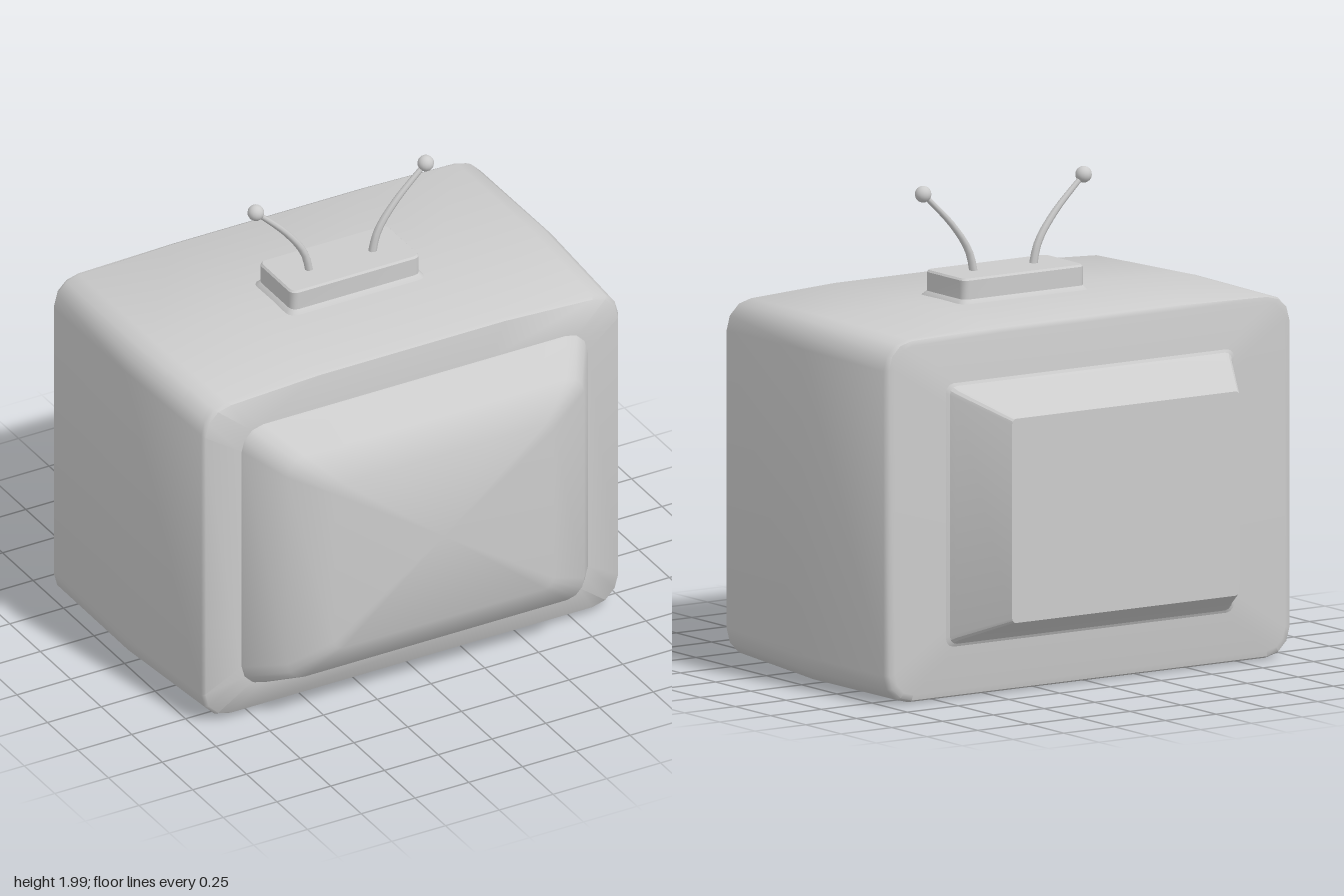
import * as THREE from 'three';
import { toCreasedNormals } from 'three/addons/utils/BufferGeometryUtils.js';

const grey = new THREE.MeshStandardMaterial({ color: 0xcccccc });

// Rounded rectangle cross-section; crown lifts the middle of the top edge
function ring({ z, w, y0, y1, r, crown = 0 }, steps) {
  const points = [];
  const top = y1 - crown;
  const corners = [[w - r, top - r], [r - w, top - r], [r - w, y0 + r], [w - r, y0 + r]];
  corners.forEach(([cx, cy], c) => {
    for (let i = 0; i <= steps; i++) {
      const a = (c + i / steps) * Math.PI / 2;
      points.push([cx + r * Math.cos(a), cy + r * Math.sin(a), z]);
    }
    if (c === 0) for (const x of [0.45, 0, -0.45]) points.push([x * w, y1, z]);
  });
  return points;
}

// Skin through the sections, ordered from low z to high z, with both ends closed
function loft(sections, steps = 3, crease = 0.6) {
  const rings = sections.map((s) => ring(s, steps));
  const n = rings[0].length;
  const positions = rings.flat(2);
  const index = [];
  for (let s = 0; s < rings.length - 1; s++) {
    for (let j = 0; j < n; j++) {
      const a = s * n + j, b = s * n + (j + 1) % n;
      index.push(a, b, b + n, a, b + n, a + n);
    }
  }
  const first = sections[0], last = sections[sections.length - 1];
  const base = rings.length * n;
  for (const s of [first, last]) positions.push(0, (s.y0 + s.y1) / 2, s.z);
  for (let j = 0; j < n; j++) {
    const k = (j + 1) % n, e = (rings.length - 1) * n;
    index.push(base, k, j, base + 1, e + j, e + k);
  }
  const g = new THREE.BufferGeometry();
  g.setAttribute('position', new THREE.Float32BufferAttribute(positions, 3));
  g.setIndex(index);
  return toCreasedNormals(g, crease);
}

export function createModel() {
  const model = new THREE.Group();
  const add = (name, geometry, parent = model) => {
    const mesh = new THREE.Mesh(geometry, grey);
    mesh.name = name;
    parent.add(mesh);
    return mesh;
  };

  // Cabinet, tapering slightly from the middle to the front
  add('cabinet', loft([
    { z: -0.605, w: 0.96, y0: 0.04, y1: 1.485, r: 0.09, crown: 0.01 },
    { z: -0.6, w: 0.985, y0: 0.017, y1: 1.505, r: 0.11, crown: 0.01 },
    { z: -0.58, w: 1.0, y0: 0.008, y1: 1.515, r: 0.12, crown: 0.015 },
    { z: 0, w: 1.0, y0: 0.005, y1: 1.52, r: 0.12, crown: 0.015 },
    { z: 0.575, w: 0.97, y0: 0.027, y1: 1.513, r: 0.12, crown: 0.02 },
    { z: 0.592, w: 0.96, y0: 0.035, y1: 1.505, r: 0.12, crown: 0.02 },
    { z: 0.615, w: 0.81, y0: 0.15, y1: 1.37, r: 0.1 },
  ], 3, 0.9));

  // Bulging picture tube face
  add('screen', loft([
    { z: 0.6, w: 0.81, y0: 0.15, y1: 1.37, r: 0.1 },
    { z: 0.625, w: 0.8, y0: 0.155, y1: 1.365, r: 0.1 },
    { z: 0.79, w: 0.69, y0: 0.24, y1: 1.28, r: 0.08 },
    { z: 0.858, w: 0.51, y0: 0.37, y1: 1.145, r: 0.04 },
  ], 3, 0.75));

  // Housing for the tube at the back, with a small fillet at its foot
  add('backHousing', loft([
    { z: -0.86, w: 0.56, y0: 0.34, y1: 1.18, r: 0.02 },
    { z: -0.635, w: 0.68, y0: 0.245, y1: 1.275, r: 0.03 },
    { z: -0.612, w: 0.695, y0: 0.23, y1: 1.29, r: 0.035 },
    { z: -0.6, w: 0.72, y0: 0.21, y1: 1.31, r: 0.04 },
  ], 3, 0.4));

  // Aerial base, lofted upwards
  const section = (z, w, d, r) => ({ z, w, y0: -d, y1: d, r });
  const baseGeometry = loft([
    section(1.49, 0.33, 0.17, 0.04),
    section(1.517, 0.32, 0.16, 0.04),
    section(1.535, 0.3, 0.142, 0.03),
    section(1.612, 0.3, 0.142, 0.03),
    section(1.62, 0.293, 0.135, 0.025),
  ], 3, 0.7);
  baseGeometry.rotateX(-Math.PI / 2);
  add('aerialBase', baseGeometry);

  // Pair of bent, tapering aerials with ball tips
  for (const side of [1, -1]) {
    const aerial = new THREE.Group();
    aerial.name = side > 0 ? 'leftAerial' : 'rightAerial';
    const path = new THREE.CatmullRomCurve3([
      [0.14, 1.58], [0.17, 1.7], [0.25, 1.815], [0.395, 1.958],
    ].map(([x, y]) => new THREE.Vector3(side * x, y, 0.01)));
    const segments = 12, radial = 8;
    const rod = new THREE.TubeGeometry(path, segments, 0.018, radial);
    const p = rod.attributes.position, v = new THREE.Vector3();
    for (let i = 0; i < p.count; i++) {
      const t = Math.floor(i / (radial + 1)) / segments;
      const centre = path.getPointAt(t);
      v.fromBufferAttribute(p, i).sub(centre).multiplyScalar(1 - 0.4 * t).add(centre);
      p.setXYZ(i, v.x, v.y, v.z);
    }
    add('aerialRod', rod, aerial);
    add('aerialTip', new THREE.SphereGeometry(0.034, 16, 12), aerial)
      .position.set(side * 0.395, 1.958, 0.01);
    model.add(aerial);
  }
  return model;
}
